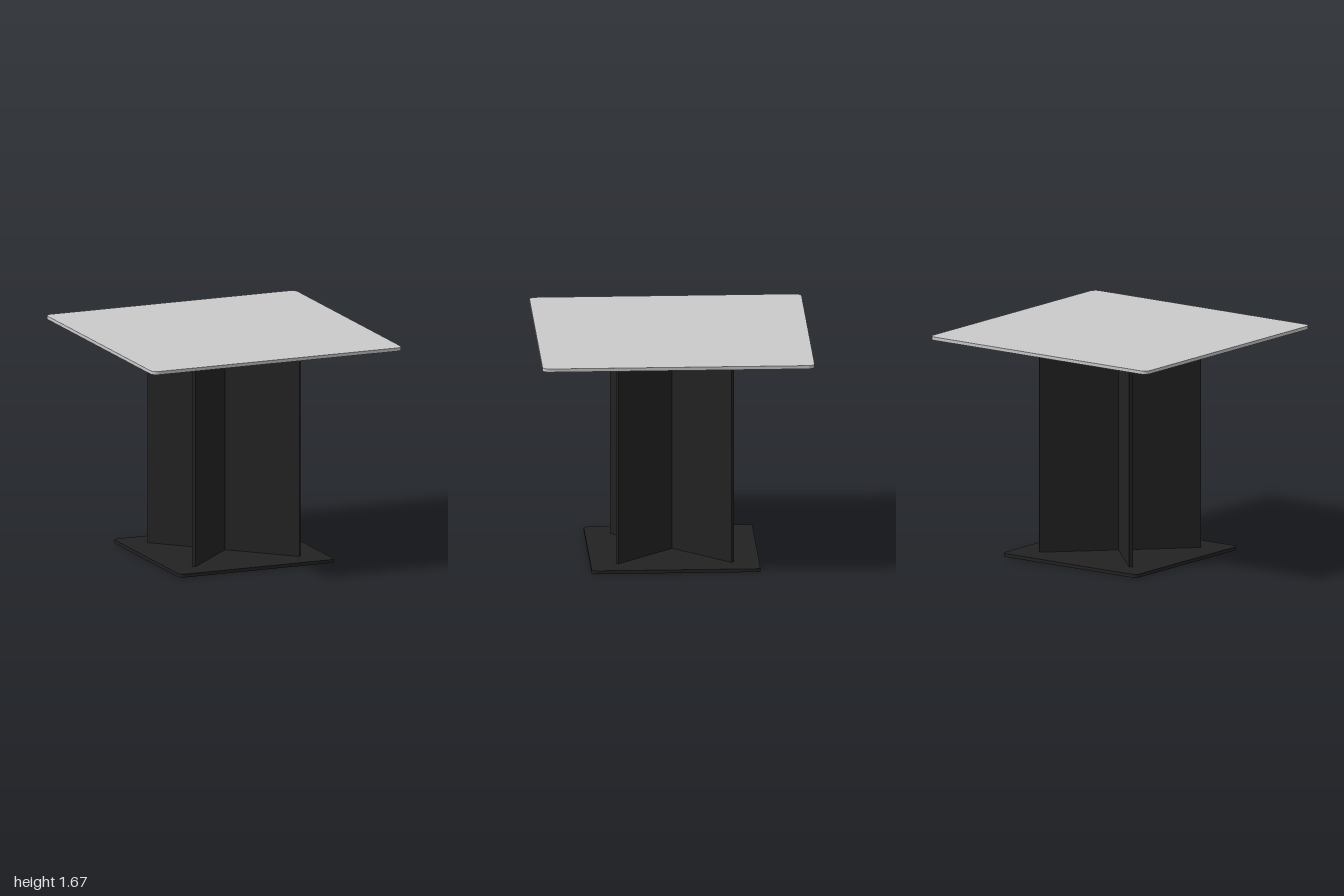
import * as THREE from 'three';

const topMaterial = new THREE.MeshStandardMaterial({ name: 'light grey top', color: 0xcacaca });
const baseMaterial = new THREE.MeshStandardMaterial({ name: 'black metal', color: 0x222222 });

// Horizontal square plate with rounded corners, resting on height y
function roundedPlate(name, half, radius, thickness, y, material) {
  const inner = half - radius;
  const shape = new THREE.Shape();
  shape.absarc(inner, inner, radius, 0, Math.PI / 2);
  shape.absarc(-inner, inner, radius, Math.PI / 2, Math.PI);
  shape.absarc(-inner, -inner, radius, Math.PI, Math.PI * 1.5);
  shape.absarc(inner, -inner, radius, Math.PI * 1.5, Math.PI * 2);
  shape.closePath();
  const geometry = new THREE.ExtrudeGeometry(shape, { depth: thickness, bevelEnabled: false, curveSegments: 10 });
  geometry.rotateX(-Math.PI / 2);
  const mesh = new THREE.Mesh(geometry, material);
  mesh.name = name;
  mesh.position.y = y;
  return mesh;
}

export function createModel() {
  const model = new THREE.Group();
  model.name = 'pedestalTable';

  const plate = 0.025;
  const panelHeight = 1.62;

  model.add(roundedPlate('basePlate', 0.62, 0.04, plate, 0, baseMaterial));
  model.add(roundedPlate('tableTop', 1, 0.05, plate, plate + panelHeight, topMaterial));

  // Two upright panels crossing on the diagonals
  const pedestal = new THREE.Group();
  pedestal.name = 'pedestal';
  for (const side of [-1, 1]) {
    const panel = new THREE.Mesh(new THREE.BoxGeometry(1.2, panelHeight, 0.027), baseMaterial);
    panel.name = side < 0 ? 'crossPanelA' : 'crossPanelB';
    panel.position.y = plate + panelHeight / 2;
    panel.rotation.y = side * Math.PI / 4;
    pedestal.add(panel);
  }
  model.add(pedestal);

  return model;
}
